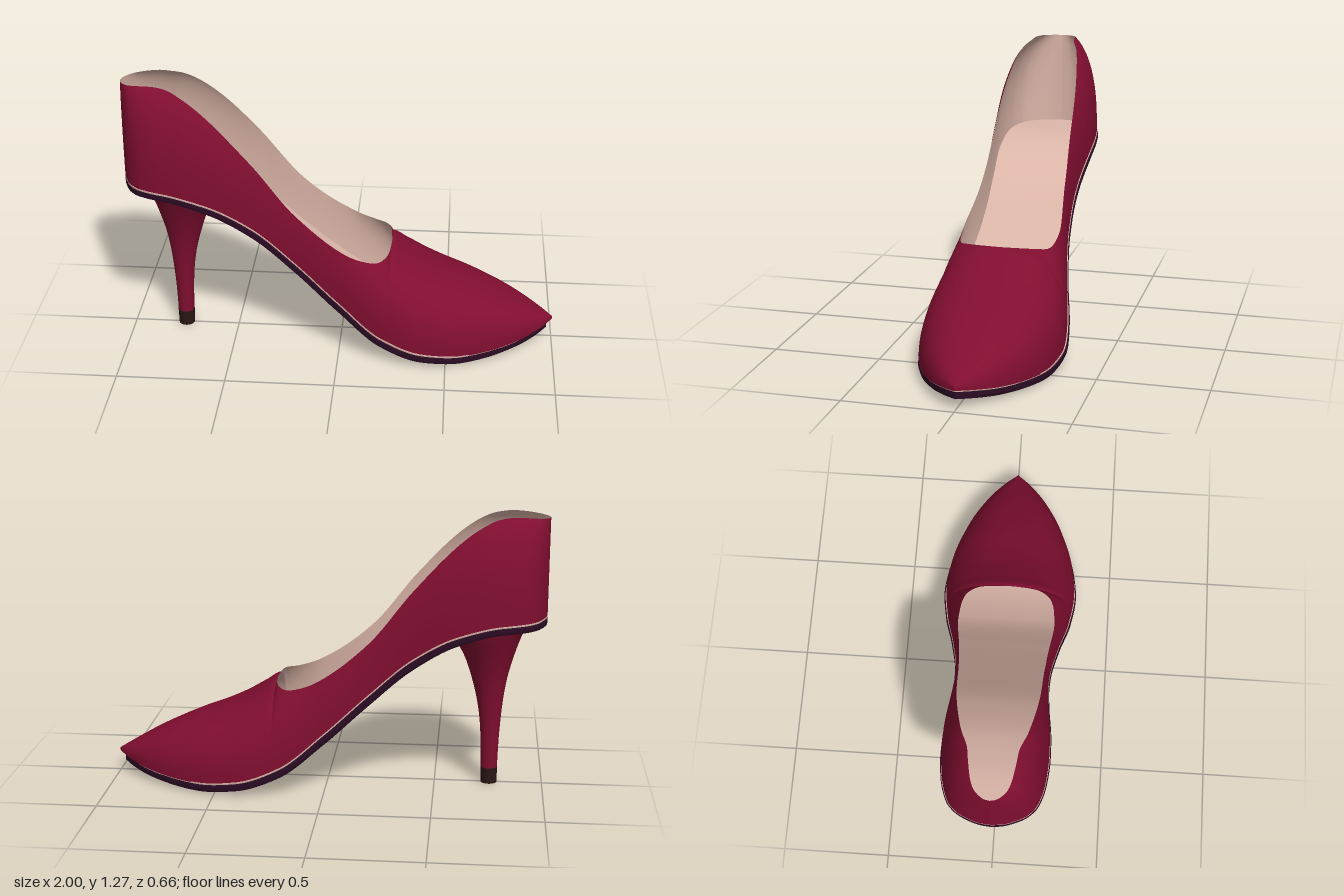
import * as THREE from 'three';
import { mergeVertices, mergeGeometries, toCreasedNormals } from 'three/addons/utils/BufferGeometryUtils.js';

// Smooth monotone curve through [x, y] points
function curve(p) {
  const n = p.length;
  const s = [];
  for (let i = 0; i < n - 1; i++) s.push((p[i + 1][1] - p[i][1]) / (p[i + 1][0] - p[i][0]));
  const m = p.map((_, i) => {
    if (i === 0) return s[0];
    if (i === n - 1) return s[n - 2];
    return s[i - 1] * s[i] <= 0 ? 0 : (2 * s[i - 1] * s[i]) / (s[i - 1] + s[i]);
  });
  return (x) => {
    let i = 0;
    while (i < n - 2 && x > p[i + 1][0]) i++;
    const d = p[i + 1][0] - p[i][0];
    const t = THREE.MathUtils.clamp((x - p[i][0]) / d, 0, 1);
    const a = t * t * (3 - 2 * t);
    return p[i][1] * (1 - a) + p[i + 1][1] * a
      + d * t * (1 - t) * (m[i] * (1 - t) - m[i + 1] * t);
  };
}

// Shoe lines along x: heel at -1, toe at +1
const halfWidth = curve([[-1, 0], [-0.995, 0.05], [-0.98, 0.1], [-0.95, 0.16], [-0.9, 0.203], [-0.8, 0.233],
  [-0.68, 0.243], [-0.6, 0.242], [-0.4, 0.225], [-0.3, 0.221], [-0.2, 0.226], [0, 0.262], [0.2, 0.312],
  [0.36, 0.332], [0.5, 0.316], [0.7, 0.247], [0.85, 0.157], [0.95, 0.065], [1, 0]]);
const soleBottom = curve([[-1, 0.775], [-0.8, 0.764], [-0.6, 0.71], [-0.4, 0.59], [-0.2, 0.415], [0, 0.235],
  [0.2, 0.085], [0.4, 0.02], [0.58, 0.003], [0.8, 0.02], [1, 0.052]]);
const soleTop = curve([[-1, 0.808], [-0.8, 0.797], [-0.6, 0.747], [-0.4, 0.635], [-0.2, 0.462], [0, 0.282],
  [0.2, 0.128], [0.4, 0.06], [0.58, 0.042], [0.8, 0.057], [1, 0.09]]);
const topLine = curve([[-1, 1.26], [-0.84, 1.272], [-0.77, 1.262], [-0.7, 1.232], [-0.6, 1.16], [-0.4, 0.952],
  [-0.2, 0.705], [0, 0.545], [0.1, 0.496], [0.18, 0.479], [0.235, 0.488], [0.3, 0.45], [0.4, 0.391],
  [0.5, 0.346], [0.6, 0.309], [0.8, 0.22], [0.9, 0.166], [1, 0.11]]);
// Opening width as a share of the shoe width; zero over the toe
const THROAT = 0.235;
const openRatio = curve([[-1, 0.5], [-0.9, 0.45], [-0.8, 0.46], [-0.7, 0.59], [-0.6, 0.69], [-0.4, 0.85],
  [-0.2, 0.91], [0, 0.885], [0.1, 0.8], [0.18, 0.68], [0.22, 0.48], [0.23, 0.29], [THROAT, 0]]);

// Stations packed closely at the heel, throat and toe
const stations = [];
const addStations = (a, b, n) => {
  for (let i = 0; i < n; i++) stations.push(a + (b - a) * (1 - Math.cos((Math.PI * i) / n)) / 2);
};
addStations(-1, THROAT, 80);
addStations(THROAT, 1, 48);
stations.push(1);

// Grid surface from a point function
function grid(point, ni, nj, flip) {
  const pos = [], idx = [];
  for (let i = 0; i <= ni; i++) for (let j = 0; j <= nj; j++) pos.push(...point(i, j));
  for (let i = 0; i < ni; i++) for (let j = 0; j < nj; j++) {
    const a = i * (nj + 1) + j, b = a + nj + 1;
    if (flip) idx.push(a, b + 1, b, a, a + 1, b + 1);
    else idx.push(a, b, b + 1, a, b + 1, a + 1);
  }
  const g = new THREE.BufferGeometry();
  g.setAttribute('position', new THREE.Float32BufferAttribute(pos, 3));
  g.setIndex(idx);
  return g;
}

// Half surface on +z, mirrored and welded along the centre line
function mirrored(point, nj, flip = false) {
  const ni = stations.length - 1;
  const left = grid(point, ni, nj, flip);
  const right = grid((i, j) => {
    const [x, y, z] = point(i, j);
    return [x, y, -z];
  }, ni, nj, !flip);
  const g = mergeVertices(mergeGeometries([left, right]), 1e-5);
  g.computeVertexNormals();
  return g;
}

// Arched wall, cut off at the opening; inset is the lining thickness
function wall(inset) {
  const N = 24, n = 2.5;
  return (i, j) => {
    const x = stations[i], u = j / N;
    const r = x >= THROAT ? 0 : openRatio(x);
    const end = Math.acos(Math.pow(r, n / 2));
    const base = soleTop(x) + 0.004;
    const h = (topLine(x) - base) / Math.pow(Math.sin(end), 2 / n);
    const w = halfWidth(x) * 0.97;
    const a = end * u;
    const k = inset * (x >= THROAT ? 1 : 1 - u ** 3);
    const z = w * Math.pow(Math.max(Math.cos(a), 0), 2 / n);
    const y = base + h * Math.pow(Math.sin(a), 2 / n);
    return [x, y - (x >= THROAT ? k * u * Math.min(1, (x - THROAT) * 10) : 0), z * (1 - k * 4)];
  };
}

// Slab following the sole line
function slab(bottom, top, scale, length, bevel) {
  return toCreasedNormals(mirrored((i, j) => {
    const x = stations[i] > 0 ? stations[i] * length : stations[i];
    const w = halfWidth(stations[i]) * scale;
    const lo = bottom(x), hi = top(x);
    const section = [[0, 0], [0.5, 0], [bevel, 0], [(1 + bevel) / 2 + 0.015, 0.15], [1, 0.5], [1, 1], [0.5, 1], [0, 1]];
    const [sz, sy] = section[j];
    return [x, lo + (hi - lo) * sy, w * sz];
  }, 7), 0.7);
}

// Flared stiletto: rows of y, back x, front x, half depth
function stiletto() {
  const rows = [[0.07, -0.791, -0.716, 0.037], [0.2, -0.795, -0.712, 0.041], [0.3, -0.801, -0.705, 0.048],
    [0.4, -0.81, -0.69, 0.06], [0.5, -0.825, -0.665, 0.08], [0.6, -0.85, -0.632, 0.112],
    [0.68, -0.875, -0.59, 0.145], [0.73, -0.895, -0.555, 0.168], [0.78, -0.93, -0.53, 0.185]];
  const [back, front, depth] = [1, 2, 3].map((k) => curve(rows.map((r) => [r[0], r[k]])));
  const NY = 32, NA = 40;
  const g = grid((i, j) => {
    const y = 0.07 + (0.71 * j) / NY, a = (-2 * Math.PI * i) / NA;
    const x = (back(y) + front(y)) / 2 + (Math.cos(a) * (front(y) - back(y))) / 2;
    return [x, Math.min(y, soleBottom(x) + 0.015), Math.sin(a) * depth(y)];
  }, NA, NY, false);
  const welded = mergeVertices(g, 1e-5);
  welded.computeVertexNormals();
  return welded;
}

export function createModel() {
  const group = new THREE.Group();
  const material = (name, color) => {
    const m = new THREE.MeshStandardMaterial({ color });
    m.name = name;
    return m;
  };
  const red = material('burgundy leather', 0x800e30);
  const plum = material('dark plum sole', 0x2e0d26);
  const beige = material('beige lining', 0xdcb6a9);
  const brown = material('dark brown rubber', 0x2a1614);
  const add = (name, geometry, mat) => {
    const mesh = new THREE.Mesh(geometry, mat);
    mesh.name = name;
    group.add(mesh);
    return mesh;
  };

  add('upper', mirrored(wall(0), 24), red);
  add('lining', mirrored(wall(0.012), 24, true), beige);
  add('insole', slab((x) => soleTop(x) - 0.004, (x) => soleTop(x) + 0.008, 0.982, 0.985, 0.96), beige);
  add('sole', slab(soleBottom, soleTop, 1, 0.975, 0.93), plum);
  add('heel', stiletto(), red);
  add('heelTip', new THREE.CylinderGeometry(0.039, 0.037, 0.075, 32), brown).position.set(-0.7535, 0.0375, 0);
  return group;
}
